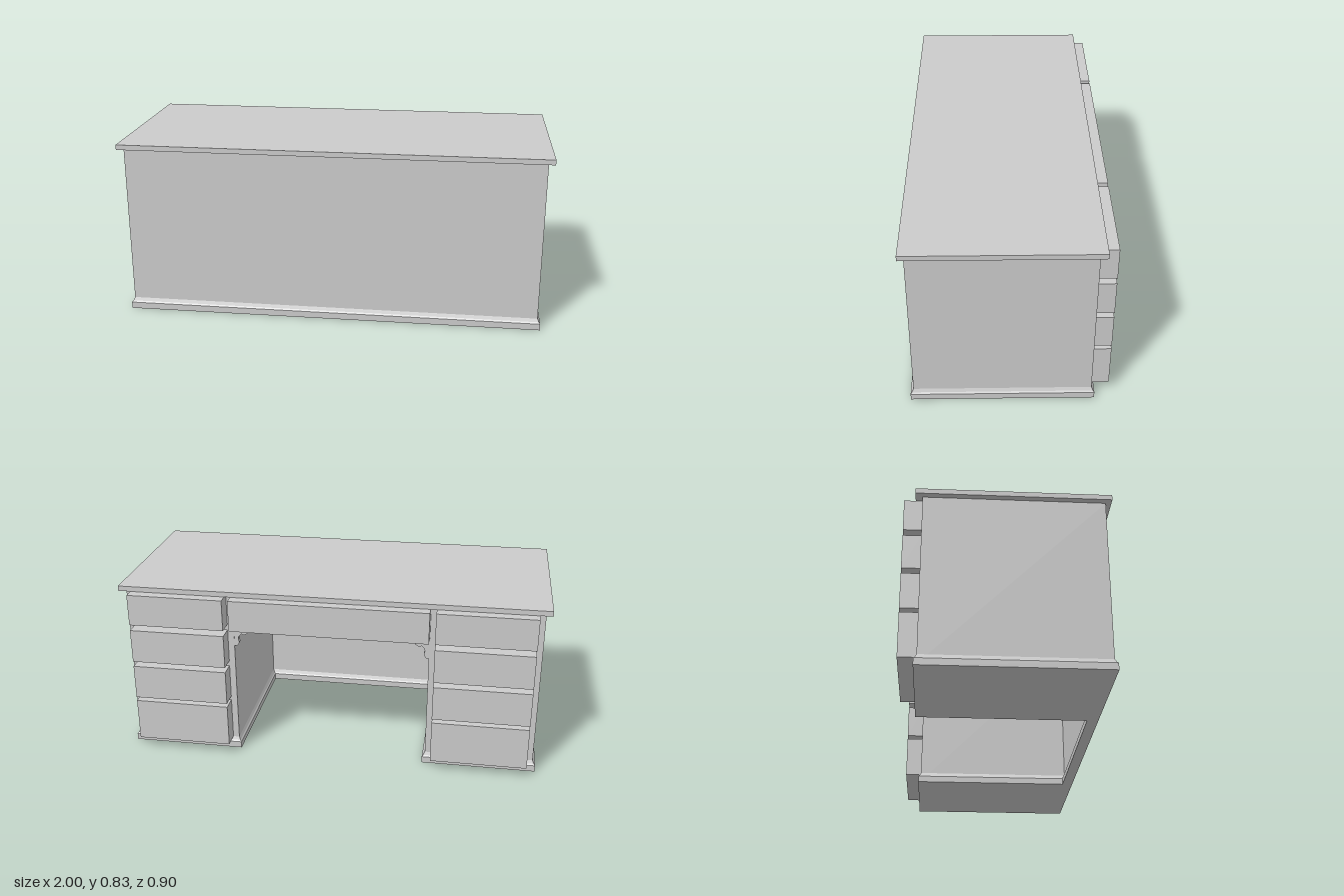
import * as THREE from 'three';
import { mergeGeometries } from 'three/addons/utils/BufferGeometryUtils.js';

const material = new THREE.MeshStandardMaterial({ color: 0xcccccc });

// Main dimensions
const SIDE = 0.972, FRONT = 0.425, BACK = -0.37;
const KNEE = 0.46, PANEL = 0.4; // kneehole half width and inner face of the front panel
const BODY_TOP = 0.808, KNEE_TOP = 0.63;

function add(parent, name, geometry) {
  const mesh = new THREE.Mesh(geometry, material);
  mesh.name = name;
  parent.add(mesh);
  return mesh;
}

// Box given by its extents on each axis
function block(parent, name, [x0, x1], [y0, y1], [z0, z1]) {
  const geometry = new THREE.BoxGeometry(x1 - x0, y1 - y0, z1 - z0);
  geometry.translate((x0 + x1) / 2, (y0 + y1) / 2, (z0 + z1) / 2);
  return add(parent, name, geometry);
}

// U-shaped footprint of the desk, grown outwards by d
function footprint(d) {
  return [
    [-SIDE - d, FRONT + d], [SIDE + d, FRONT + d], [SIDE + d, BACK - d], [KNEE - d, BACK - d],
    [KNEE - d, PANEL - d], [-KNEE + d, PANEL - d], [-KNEE + d, BACK - d], [-SIDE - d, BACK - d],
  ];
}

// Moulded plinth: a profile of [outset, height] swept round the footprint, closed below
function plinthGeometry() {
  const profile = [[0.013, 0], [0.013, 0.031], [0.007, 0.038], [0, 0.053]];
  const positions = [];
  for (let j = 0; j < profile.length - 1; j++) {
    const [d0, y0] = profile[j], [d1, y1] = profile[j + 1];
    const low = footprint(d0), high = footprint(d1);
    low.forEach((p, i) => {
      const n = (i + 1) % low.length;
      const a = [p[0], y0, p[1]], b = [low[n][0], y0, low[n][1]];
      const c = [high[n][0], y1, high[n][1]], e = [high[i][0], y1, high[i][1]];
      positions.push(...a, ...b, ...c, ...a, ...c, ...e);
    });
  }
  const sides = new THREE.BufferGeometry();
  sides.setAttribute('position', new THREE.Float32BufferAttribute(positions, 3));
  sides.computeVertexNormals();

  const outline = footprint(profile[0][0]).map(([x, z]) => new THREE.Vector2(x, z));
  const base = new THREE.ShapeGeometry(new THREE.Shape(outline)).toNonIndexed();
  base.rotateX(Math.PI / 2);
  base.deleteAttribute('uv');
  return mergeGeometries([sides, base]);
}

// Small curved corner bracket, symmetric enough to be mirrored by its side
function bracketGeometry(side) {
  const s = new THREE.Shape();
  const x = (v) => side * (KNEE - v);
  s.moveTo(x(0), KNEE_TOP);
  s.lineTo(x(0.065), KNEE_TOP);
  s.lineTo(x(0.065), KNEE_TOP - 0.012);
  s.quadraticCurveTo(x(0.045), KNEE_TOP - 0.03, x(0.036), KNEE_TOP - 0.018);
  s.quadraticCurveTo(x(0.016), KNEE_TOP - 0.03, x(0.02), KNEE_TOP - 0.05);
  s.quadraticCurveTo(x(0.03), KNEE_TOP - 0.062, x(0.012), KNEE_TOP - 0.08);
  s.lineTo(x(0), KNEE_TOP - 0.08);
  s.closePath();
  const geometry = new THREE.ExtrudeGeometry(s, { depth: 0.02, bevelEnabled: false, curveSegments: 6 });
  return geometry.translate(0, 0, BACK + 0.002);
}

export function createModel() {
  const desk = new THREE.Group();
  desk.name = 'desk';

  block(desk, 'desktop', [-1, 1], [BODY_TOP, 0.832], [-0.4, 0.45]);
  block(desk, 'frontPanel', [-KNEE, KNEE], [0.01, KNEE_TOP], [PANEL, FRONT]);
  block(desk, 'kneeholeHeader', [-KNEE, KNEE], [KNEE_TOP, BODY_TOP], [BACK, FRONT]);
  add(desk, 'plinth', plinthGeometry());

  // Drawer fronts stand proud of the back
  const drawerDepth = [-0.45, BACK];
  const drawerRows = [[0.053, 0.258], [0.277, 0.443], [0.468, 0.63], [0.658, BODY_TOP]];
  block(desk, 'centreDrawer', [-0.462, 0.462], drawerRows[3], drawerDepth);

  for (const side of [1, -1]) {
    const span = (a, b) => (side > 0 ? [a, b] : [-b, -a]);
    const pedestal = new THREE.Group();
    pedestal.name = side > 0 ? 'leftPedestal' : 'rightPedestal';
    desk.add(pedestal);

    block(pedestal, 'cabinet', span(KNEE, SIDE), [0.01, BODY_TOP], [BACK, FRONT]);
    drawerRows.forEach((row, i) => block(pedestal, `drawer${i + 1}`, span(0.49, 0.942), row, drawerDepth));
    add(pedestal, 'cornerBracket', bracketGeometry(side));
  }
  return desk;
}
